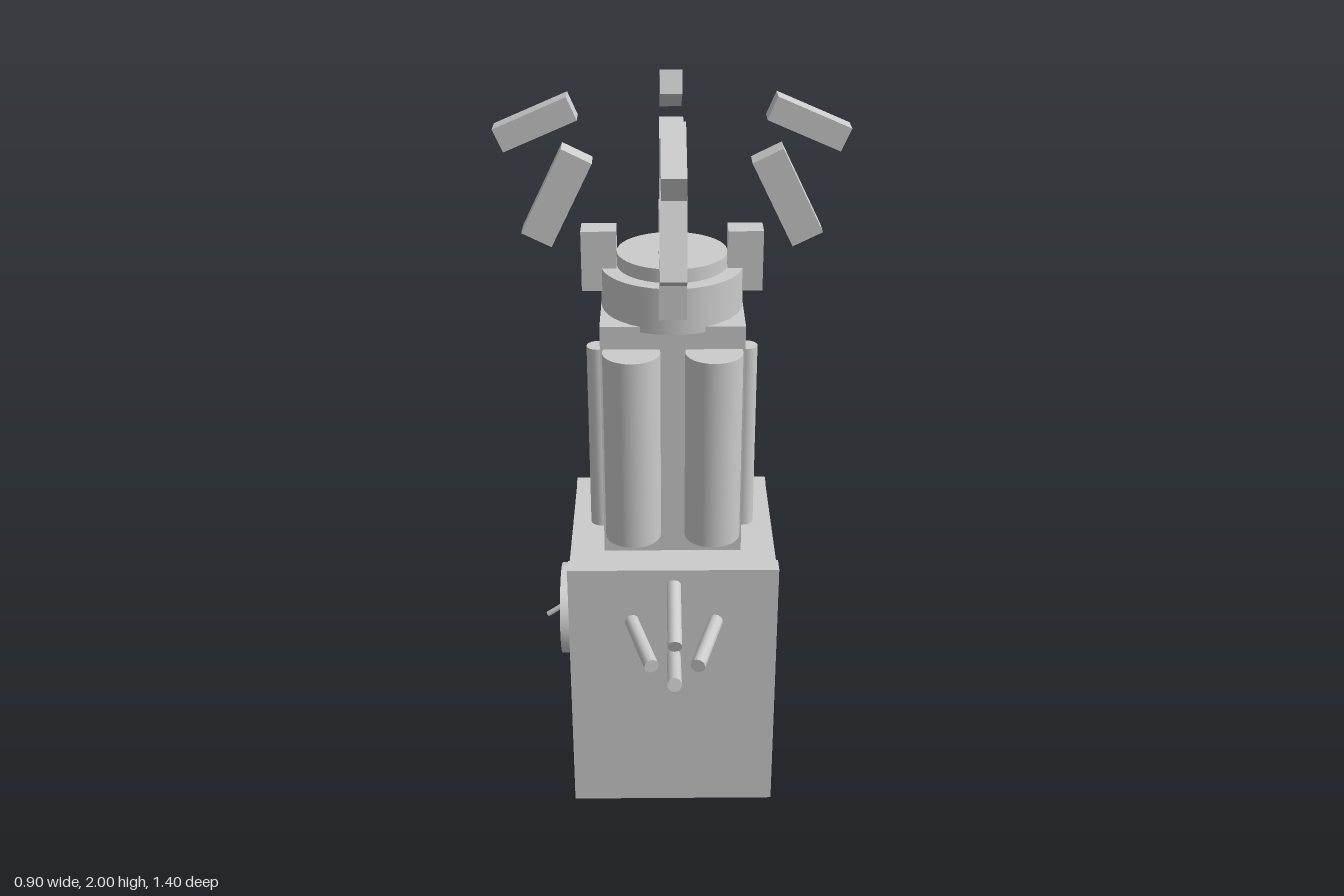
import * as THREE from 'three';

const material = new THREE.MeshStandardMaterial({ color: 0xcccccc });

export function createModel() {
  const model = new THREE.Group();

  function add(name, geometry, x, y, z, parent = model) {
    const mesh = new THREE.Mesh(geometry, material);
    mesh.name = name;
    mesh.position.set(x, y, z);
    parent.add(mesh);
    return mesh;
  }
  // Box given by its limits on each axis
  function box(name, x0, x1, y0, y1, z0, z1, parent) {
    return add(name, new THREE.BoxGeometry(x1 - x0, y1 - y0, z1 - z0),
      (x0 + x1) / 2, (y0 + y1) / 2, (z0 + z1) / 2, parent);
  }
  // Upright cylinder between two heights
  function post(name, radius, y0, y1, x, z, sides = 32) {
    return add(name, new THREE.CylinderGeometry(radius, radius, y1 - y0, sides), x, (y0 + y1) / 2, z);
  }
  // Thin rod between two points
  function rod(name, a, b, radius, sides = 10) {
    const from = new THREE.Vector3(...a), to = new THREE.Vector3(...b);
    const dir = to.clone().sub(from);
    const mid = from.clone().add(to).multiplyScalar(0.5);
    const mesh = add(name, new THREE.CylinderGeometry(radius, radius, dir.length(), sides), mid.x, mid.y, mid.z);
    mesh.quaternion.setFromUnitVectors(new THREE.Vector3(0, 1, 0), dir.normalize());
    return mesh;
  }

  const axisZ = 0.05; // shared centre line of tower, cap and claw

  // Base with front plate and back edge strips
  box('baseBody', -0.282, 0.282, 0.008, 0.775, -0.203, 0.3);
  box('frontPlate', -0.286, 0.286, 0, 0.785, 0.288, 0.338);
  for (const s of [-1, 1]) {
    add('backEdgeStrip', new THREE.BoxGeometry(0.042, 0.77, 0.04), s * 0.262, 0.39, -0.188);
  }

  // Tower with tanks, side pipes and round cap
  box('tower', -0.188, 0.188, 0.77, 1.443, -0.118, 0.217);
  for (const s of [-1, 1]) {
    post('frontTank', 0.075, 0.84, 1.38, s * 0.107, 0.236);
    post('sidePipe', 0.03, 0.77, 1.32, s * 0.201, axisZ, 20);
  }
  post('backTank', 0.091, 0.84, 1.38, 0, -0.14);
  post('capDrum', 0.187, 1.428, 1.553, 0, axisZ, 40);
  post('capDisc', 0.145, 1.55, 1.59, 0, axisZ, 40);

  // Four fingers around the cap: knuckle, middle and tip
  for (let i = 0; i < 4; i++) {
    const finger = new THREE.Group();
    finger.name = 'finger';
    finger.position.z = axisZ;
    finger.rotation.y = i * Math.PI / 2;
    box('knuckle', 0.145, 0.237, 1.49, 1.653, -0.035, 0.035, finger);
    add('fingerMiddle', new THREE.BoxGeometry(0.086, 0.246, 0.066), 0.296, 1.74, 0, finger)
      .rotation.z = 0.46;
    add('fingerTip', new THREE.BoxGeometry(0.064, 0.204, 0.06), 0.344, 1.93, 0, finger)
      .rotation.z = 1.165;
    model.add(finger);
  }

  // Four converging rods floating ahead of the base
  for (const [dx, dy] of [[1, 0], [-1, 0], [0, 1], [0, -1]]) {
    rod('frontRod', [dx * 0.11, 0.73 + dy * 0.11, 0.497], [dx * 0.058, 0.73 + dy * 0.058, 0.697], 0.019);
  }

  // Dial with a small lever on the right side
  add('dial', new THREE.CylinderGeometry(0.133, 0.133, 0.05, 32), -0.298, 0.478, axisZ)
    .rotation.z = Math.PI / 2;
  rod('dialLever', [-0.31, 0.495, axisZ], [-0.367, 0.455, axisZ], 0.008, 8);

  // Tilted back arm, its lower end sunk in the base
  const arm = new THREE.Group();
  arm.name = 'backArm';
  arm.position.set(0, 0.621, -0.68); // centre of the outer end face
  arm.rotation.x = 0.2;
  box('armBlock', -0.075, 0.075, -0.107, 0.107, 0, 0.52, arm);
  // Small ribs along both upper edges
  for (const s of [-1, 1]) {
    for (let i = 0; i < 5; i++) {
      add('armRib', new THREE.BoxGeometry(0.012, 0.04, 0.05), s * 0.073, 0.09, 0.095 + i * 0.083, arm);
    }
  }
  model.add(arm);

  // Handle over the arm
  box('handleBar', -0.044, 0.044, 0.8, 0.83, -0.66, -0.203);
  box('handleOuterPost', -0.044, 0.044, 0.7, 0.815, -0.66, -0.625);
  box('handleInnerPost', -0.044, 0.044, 0.63, 0.83, -0.237, -0.203);
  add('trigger', new THREE.BoxGeometry(0.08, 0.045, 0.135), 0, 0.71, -0.33).rotation.x = 0.26;

  return model;
}
